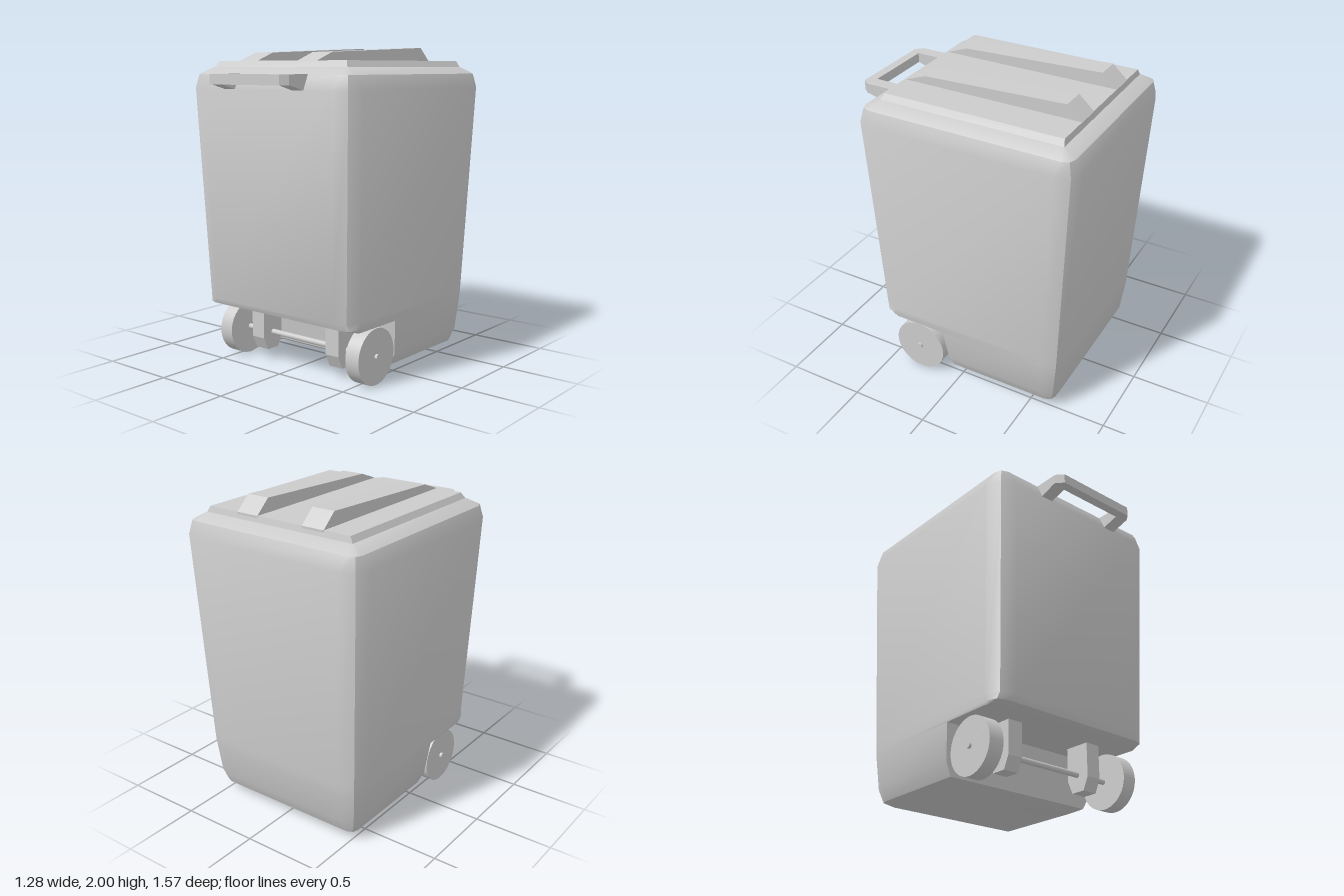
import * as THREE from 'three';
import { toCreasedNormals } from 'three/addons/utils/BufferGeometryUtils.js';

const material = new THREE.MeshStandardMaterial({ color: 0xcccccc });

function addMesh(parent, name, geometry) {
  const mesh = new THREE.Mesh(geometry, material);
  mesh.name = name;
  parent.add(mesh);
  return mesh;
}

// Rectangle at height y with two-facet corners; cf / cb are the front / back corner sizes
function ring([y, hx, zf, zb, cf, cb]) {
  const f = cf * 0.28, b = cb * 0.28;
  const right = [
    [hx - cf, zf], [hx - f, zf - f], [hx, zf - cf],
    [hx, zb + cb], [hx - b, zb + b], [hx - cb, zb],
  ];
  const left = right.map(([x, z]) => [-x, z]).reverse();
  return [...right, ...left].map(([x, z]) => new THREE.Vector3(x, y, z));
}

// Skin a stack of rings from bottom to top and cap both ends
function loft(sections, crease) {
  const rings = sections.map(ring);
  const out = [];
  const tri = (a, b, c) => {
    if (new THREE.Triangle(a, b, c).getArea() > 1e-7) {
      for (const p of [a, b, c]) out.push(p.x, p.y, p.z);
    }
  };
  const n = rings[0].length;
  for (let r = 0; r < rings.length - 1; r++) {
    for (let i = 0; i < n; i++) {
      const j = (i + 1) % n;
      tri(rings[r][i], rings[r][j], rings[r + 1][j]);
      tri(rings[r][i], rings[r + 1][j], rings[r + 1][i]);
    }
  }
  const bottom = rings[0], top = rings[rings.length - 1];
  for (let i = 1; i < n - 1; i++) {
    tri(top[0], top[i], top[i + 1]);
    tri(bottom[0], bottom[i + 1], bottom[i]);
  }
  const geometry = new THREE.BufferGeometry();
  geometry.setAttribute('position', new THREE.Float32BufferAttribute(out, 3));
  return toCreasedNormals(geometry, crease);
}

const extrude = (points, depth) => new THREE.ExtrudeGeometry(
  new THREE.Shape(points.map(([a, b]) => new THREE.Vector2(a, b))),
  { depth, bevelEnabled: false });

// Side profile in (z, y), extruded from x0 to x1
const sideProfile = (points, x0, x1) =>
  extrude(points, x1 - x0).rotateY(-Math.PI / 2).translate(x1, 0, 0);

export function createModel() {
  const model = new THREE.Group();
  model.name = 'wheeledBin';

  // Tapered body with a wheel recess low at the front
  addMesh(model, 'body', loft([
    [0.03, 0.455, 0.0, -0.59, 0, 0],
    [0.06, 0.52, 0.06, -0.655, 0, 0.05],
    [0.14, 0.56, 0.07, -0.692, 0, 0.1],
    [0.36, 0.585, 0.1, -0.72, 0, 0.12],
    [0.36, 0.585, 0.46, -0.72, 0.02, 0.12],
    [0.38, 0.586, 0.54, -0.722, 0.07, 0.12],
    [0.42, 0.588, 0.567, -0.724, 0.12, 0.12],
    [1.75, 0.64, 0.625, -0.787, 0.125, 0.125],
    [1.835, 0.605, 0.588, -0.75, 0.06, 0.06],
    [1.878, 0.53, 0.5, -0.67, 0, 0],
  ], 0.65));

  // Raised lid panel with two wedge ribs
  addMesh(model, 'lidPanel', loft([
    [1.87, 0.53, 0.502, -0.672, 0, 0],
    [1.915, 0.505, 0.475, -0.662, 0, 0],
  ], 0.4));
  const ribProfile = [[0.475, 1.9], [0.475, 1.915], [0.34, 1.965], [-0.57, 2], [-0.665, 1.915], [-0.665, 1.9]];
  for (const x of [-0.33, 0.14]) addMesh(model, 'lidRib', sideProfile(ribProfile, x, x + 0.15));

  // Handle: two tapering arms and a cross bar with cut corners
  const handle = new THREE.Group();
  handle.name = 'handle';
  model.add(handle);
  const armProfile = [[0.57, 1.838], [0.57, 1.735], [0.63, 1.748], [0.735, 1.777], [0.735, 1.838]];
  for (const x of [-0.31, 0.23]) addMesh(handle, 'handleArm', sideProfile(armProfile, x, x + 0.085));
  const bar = [[-0.31, 0.73], [0.315, 0.73], [0.315, 0.745], [0.28, 0.787], [-0.27, 0.787], [-0.31, 0.745]];
  addMesh(handle, 'handleBar', extrude(bar, 0.061).rotateX(Math.PI / 2).translate(0, 1.838, 0));

  // Axle brackets under the body
  const bracketProfile = [[0.2, 0.38], [0.2, 0.15], [0.235, 0.07], [0.33, 0.07], [0.368, 0.15], [0.368, 0.38]];
  for (const x of [-0.355, 0.26]) addMesh(model, 'axleBracket', sideProfile(bracketProfile, x, x + 0.1));

  // Wheels and axle
  const cylinder = (radius, length, sides) =>
    new THREE.CylinderGeometry(radius, radius, length, sides).rotateZ(Math.PI / 2);
  for (const x of [-0.51, 0.53]) {
    addMesh(model, 'wheel', cylinder(0.174, 0.097, 48)).position.set(x, 0.177, 0.28);
  }
  addMesh(model, 'axle', cylinder(0.018, 1.17, 20)).position.set(0.01, 0.177, 0.28);

  return model;
}
